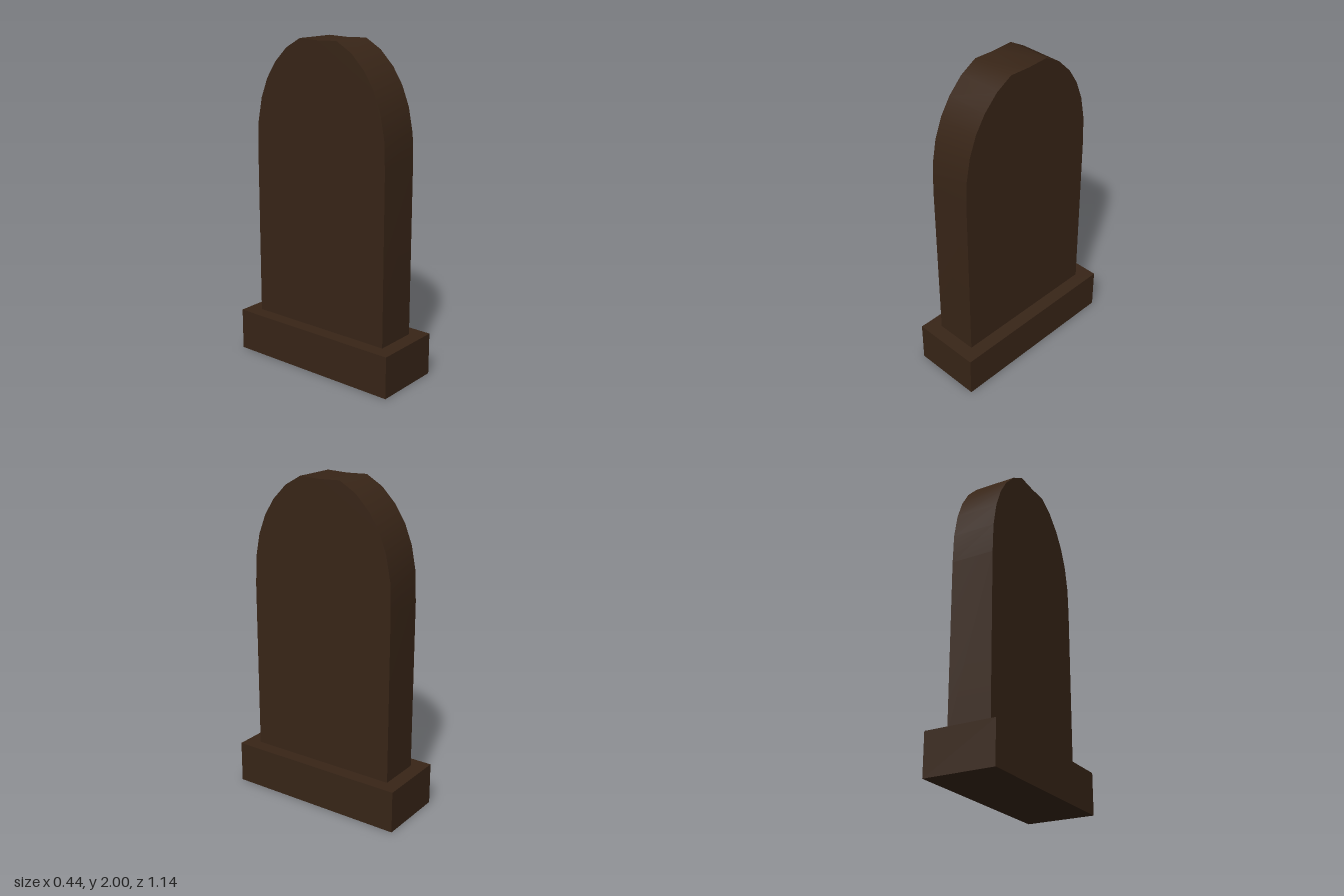
import * as THREE from 'three';
import { toCreasedNormals } from 'three/addons/utils/BufferGeometryUtils.js';

const BASE_HEIGHT = 0.26;
const SLAB_DEPTH = 0.27;

export function createModel() {
  const group = new THREE.Group();
  group.name = 'headstone';
  const material = new THREE.MeshStandardMaterial({ color: 0x38251a });
  material.color.set(0x382517);

  // Plinth
  const base = new THREE.Mesh(new THREE.BoxGeometry(0.44, BASE_HEIGHT, 1.14), material);
  base.name = 'base';
  base.position.y = BASE_HEIGHT / 2;
  group.add(base);

  // Upright slab: half outline (distance from centre, height), mirrored, with a faint dip at the crown
  const half = [
    [0.48, BASE_HEIGHT], [0.48, 1.3], [0.473, 1.48], [0.443, 1.63], [0.395, 1.75],
    [0.33, 1.85], [0.24, 1.94], [0.135, 2],
  ];
  const outline = [
    ...half,
    [0, 1.995],
    ...half.map(([z, y]) => [-z, y]).reverse(),
  ].map(([z, y]) => new THREE.Vector2(z, y));

  const slabGeometry = new THREE.ExtrudeGeometry(new THREE.Shape(outline), {
    depth: SLAB_DEPTH,
    bevelEnabled: false,
  });
  slabGeometry.translate(0, 0, -SLAB_DEPTH / 2);
  slabGeometry.rotateY(-Math.PI / 2);

  // Smooth rim, sharp face edges
  const slab = new THREE.Mesh(toCreasedNormals(slabGeometry, Math.PI / 4), material);
  slab.name = 'slab';
  group.add(slab);

  return group;
}
